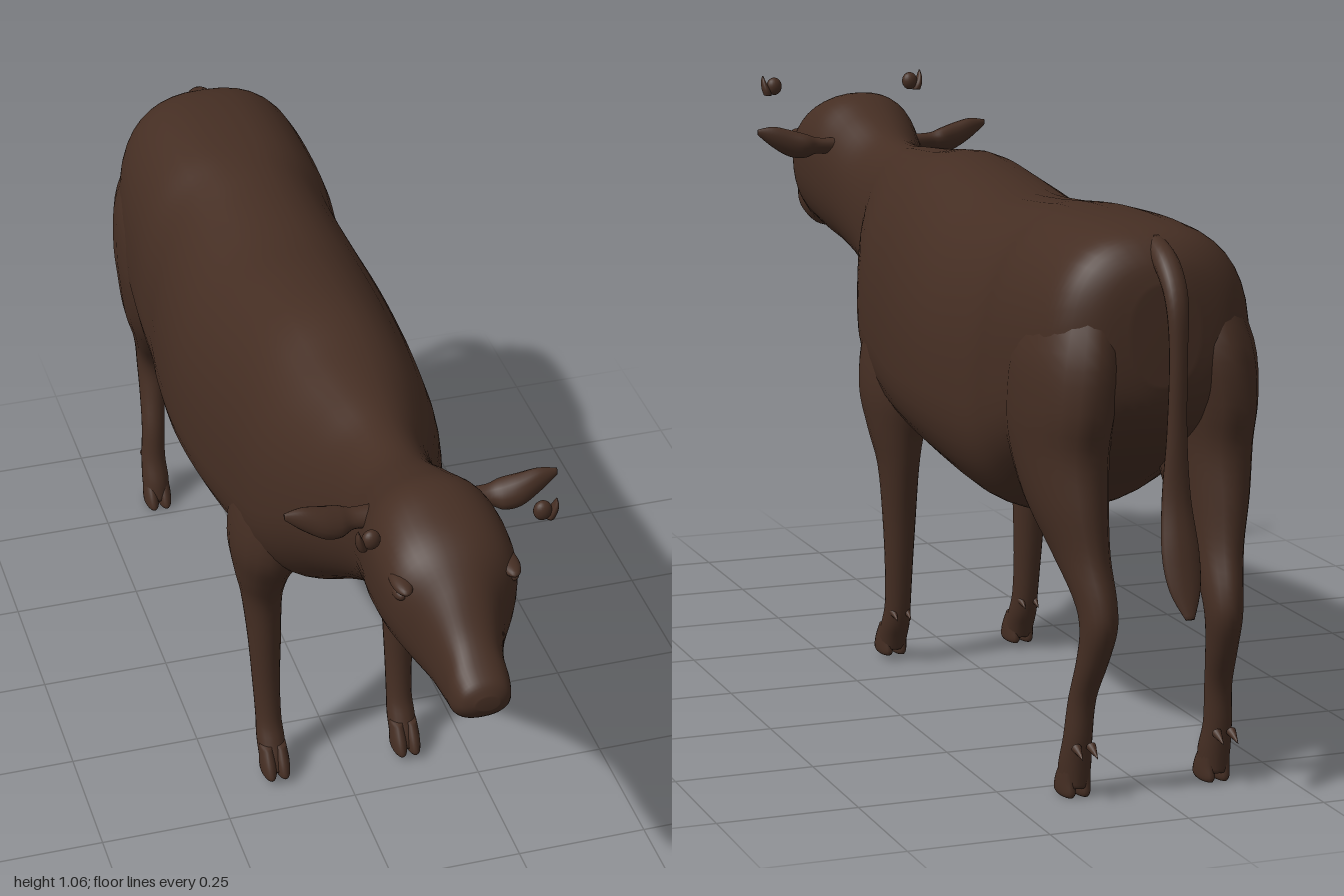
import * as THREE from 'three';

const hide = new THREE.MeshStandardMaterial({ color: 0x452e23 });
hide.name = 'dark brown hide';

// Smoothly resample rows of numbers, column by column
function resample(rows, steps) {
  const out = [];
  const at = (i) => rows[Math.max(0, Math.min(rows.length - 1, i))];
  for (let i = 0; i < rows.length - 1; i++) {
    for (let s = 0; s < steps; s++) {
      const t = s / steps;
      out.push(rows[i].map((b, k) => {
        const a = at(i - 1)[k], c = at(i + 1)[k], d = at(i + 2)[k];
        return b + 0.5 * t * (c - a + t * (2 * a - 5 * b + 4 * c - d + t * (3 * (b - c) + d - a)));
      }));
    }
  }
  out.push(rows[rows.length - 1]);
  return out;
}

// Closed smooth skin over rings of points, capped at both ends
function skin(rings) {
  const n = rings[0].length, pos = [], idx = [];
  rings.forEach((r) => r.forEach((p) => pos.push(p.x, p.y, p.z)));
  for (let i = 0; i < rings.length - 1; i++) {
    for (let j = 0; j < n; j++) {
      const a = i * n + j, b = i * n + (j + 1) % n;
      idx.push(a, b, a + n, b, b + n, a + n);
    }
  }
  [0, rings.length - 1].forEach((i) => {
    const c = new THREE.Vector3();
    rings[i].forEach((p) => c.addScaledVector(p, 1 / n));
    const m = pos.length / 3;
    pos.push(c.x, c.y, c.z);
    for (let j = 0; j < n; j++) {
      const a = i * n + j, b = i * n + (j + 1) % n;
      if (i) idx.push(a, b, m); else idx.push(b, a, m);
    }
  });
  // Turn the faces outward when the rings run the other way
  const P = (i) => new THREE.Vector3().fromArray(pos, i * 3);
  let volume = 0;
  for (let i = 0; i < idx.length; i += 3) volume += P(idx[i]).dot(P(idx[i + 1]).cross(P(idx[i + 2])));
  if (volume < 0) idx.reverse();
  const g = new THREE.BufferGeometry();
  g.setAttribute('position', new THREE.Float32BufferAttribute(pos, 3));
  g.setIndex(idx);
  g.computeVertexNormals();
  return g;
}

const angles = (n) => Array.from({ length: n }, (_, j) => (j / n) * Math.PI * 2);
const pw = (v, e) => Math.sign(v) * Math.pow(Math.abs(v), 2 / e);

// Trunk rows: z, top, bottom, half width, height of widest point, squareness
function trunk(rows) {
  return skin(resample(rows, 5).map(([z, top, bot, w, mid, e]) => angles(40).map((t) => {
    const s = pw(Math.sin(t), e);
    return new THREE.Vector3(w * pw(Math.cos(t), e), mid + s * (s > 0 ? top - mid : mid - bot), z);
  })));
}

// Limb rows: x, y, z, half width across x, half depth across z (level rings)
function limb(rows) {
  return skin(resample(rows, 4).map(([x, y, z, rx, rz]) => angles(20).map((t) =>
    new THREE.Vector3(x + rx * Math.cos(t), y, z + rz * Math.sin(t)))));
}

// Tail rows: y, z, half width, half thickness (rings square to the path)
function tailSkin(rows) {
  const r = resample(rows, 5);
  return skin(r.map(([y, z, rx, rt], i) => {
    const a = r[Math.max(0, i - 1)], b = r[Math.min(r.length - 1, i + 1)];
    const l = Math.hypot(b[0] - a[0], b[1] - a[1]);
    const ny = -(b[1] - a[1]) / l, nz = (b[0] - a[0]) / l;
    return angles(14).map((t) => new THREE.Vector3(rx * Math.cos(t), y + ny * rt * Math.sin(t), z + nz * rt * Math.sin(t)));
  }));
}

// Ear rows: x, y, z, half height, half depth (rings facing sideways)
function earSkin(rows) {
  return skin(resample(rows, 5).map(([x, y, z, ry, rz]) => angles(16).map((t) =>
    new THREE.Vector3(x, y + ry * Math.cos(t) - 0.3 * rz * Math.sin(t), z + rz * Math.sin(t)))));
}

export function createModel() {
  const model = new THREE.Group();
  model.name = 'cow';
  const add = (parent, name, geo, p = [0, 0, 0], s = [1, 1, 1]) => {
    const m = new THREE.Mesh(geo, hide);
    m.name = name;
    m.position.set(...p);
    m.scale.set(...s);
    parent.add(m);
    return m;
  };
  const ball = new THREE.SphereGeometry(1, 20, 14);

  // Body, neck and head in one skin
  add(model, 'body', trunk([
    [-0.885, 0.89, 0.72, 0.06, 0.81, 2.2],
    [-0.87, 0.935, 0.67, 0.125, 0.8, 2.4],
    [-0.83, 0.972, 0.62, 0.175, 0.77, 2.5],
    [-0.75, 0.985, 0.56, 0.2, 0.72, 2.5],
    [-0.6, 0.985, 0.485, 0.208, 0.67, 2.5],
    [-0.5, 0.98, 0.43, 0.205, 0.63, 2.3],
    [-0.4, 0.97, 0.41, 0.216, 0.62, 2.2],
    [-0.25, 0.963, 0.432, 0.225, 0.62, 2.2],
    [-0.1, 0.983, 0.45, 0.217, 0.62, 2.2],
    [0.05, 1.0, 0.46, 0.2, 0.64, 2.2],
    [0.18, 0.987, 0.485, 0.183, 0.67, 2.2],
    [0.3, 0.977, 0.565, 0.143, 0.73, 2.1],
    [0.4, 0.968, 0.63, 0.103, 0.78, 2.1],
    [0.5, 0.975, 0.685, 0.092, 0.82, 2.1],
    [0.6, 1.012, 0.722, 0.105, 0.87, 2.2],
    [0.68, 1.04, 0.738, 0.117, 0.9, 2.3],
    [0.76, 1.028, 0.752, 0.119, 0.91, 2.3],
    [0.82, 1.002, 0.755, 0.108, 0.9, 2.2],
    [0.87, 0.957, 0.743, 0.072, 0.85, 2.3],
    [0.92, 0.898, 0.738, 0.054, 0.81, 2.4],
    [0.96, 0.862, 0.752, 0.052, 0.8, 2.4],
    [0.988, 0.842, 0.776, 0.042, 0.805, 2.3],
    [1.0, 0.822, 0.795, 0.02, 0.808, 2],
  ]));

  // Tail with a fuller tip
  add(model, 'tail', tailSkin([
    [0.95, -0.83, 0.02, 0.02], [0.925, -0.885, 0.022, 0.02], [0.87, -0.927, 0.02, 0.017],
    [0.78, -0.936, 0.016, 0.013], [0.65, -0.933, 0.018, 0.013], [0.54, -0.933, 0.026, 0.016],
    [0.45, -0.953, 0.034, 0.018], [0.39, -0.974, 0.028, 0.013], [0.345, -0.996, 0.008, 0.004],
  ]));

  // One side, repeated on the other by mirroring positions
  const foreRows = [
    [0.11, 0.78, 0.1, 0.04, 0.07], [0.12, 0.65, 0.1, 0.07, 0.11], [0.128, 0.55, 0.098, 0.074, 0.108],
    [0.138, 0.47, 0.088, 0.053, 0.075], [0.137, 0.4, 0.08, 0.039, 0.051], [0.134, 0.3, 0.086, 0.032, 0.035],
    [0.133, 0.2, 0.092, 0.027, 0.027], [0.132, 0.12, 0.102, 0.025, 0.026], [0.132, 0.08, 0.115, 0.027, 0.03],
    [0.132, 0.05, 0.13, 0.027, 0.031], [0.132, 0.025, 0.14, 0.025, 0.03],
  ];
  const hindRows = [
    [0.1, 0.9, -0.76, 0.05, 0.08], [0.117, 0.78, -0.745, 0.085, 0.143], [0.13, 0.68, -0.735, 0.082, 0.157],
    [0.132, 0.6, -0.733, 0.075, 0.142], [0.13, 0.51, -0.763, 0.062, 0.12], [0.123, 0.43, -0.81, 0.045, 0.083],
    [0.116, 0.36, -0.861, 0.035, 0.052], [0.115, 0.31, -0.876, 0.031, 0.04], [0.119, 0.25, -0.86, 0.027, 0.032],
    [0.126, 0.18, -0.833, 0.024, 0.025], [0.13, 0.11, -0.823, 0.025, 0.026], [0.13, 0.06, -0.81, 0.028, 0.031],
    [0.13, 0.02, -0.804, 0.026, 0.031],
  ];
  const earRows = [
    [0.08, 0.943, 0.62, 0.018, 0.02], [0.12, 0.946, 0.62, 0.016, 0.017], [0.145, 0.946, 0.623, 0.024, 0.024],
    [0.175, 0.952, 0.627, 0.027, 0.022], [0.21, 0.966, 0.627, 0.021, 0.014], [0.242, 0.977, 0.627, 0.006, 0.004],
  ];
  for (const side of [1, -1]) {
    const flip = (rows) => rows.map((r) => [side * r[0], ...r.slice(1)]);
    const half = new THREE.Group();
    half.name = side > 0 ? 'leftSide' : 'rightSide';
    model.add(half);
    add(half, 'frontLeg', limb(flip(foreRows)));
    add(half, 'hindLeg', limb(flip(hindRows)));
    add(half, 'ear', earSkin(flip(earRows)));

    // Cloven hooves and dewclaws
    for (const [z, x, y] of [[0.147, 0.132, 0.013], [-0.798, 0.13, 0.003]]) {
      for (const d of [-0.0135, 0.0135]) {
        const px = side * (x + d);
        add(half, 'hoof', limb([
          [px, y + 0.06, z - 0.015, 0.012, 0.02], [px, y + 0.03, z - 0.004, 0.015, 0.03],
          [px, y + 0.008, z, 0.0145, 0.036], [px, y, z, 0.011, 0.032],
        ]));
        const claw = add(half, 'dewclaw', new THREE.ConeGeometry(0.009, 0.035, 10), [px, y + 0.088, z - 0.068]);
        claw.rotation.x = -2.0;
      }
    }

    // Brow and eye
    add(half, 'brow', ball, [side * 0.094, 0.945, 0.81], [0.018, 0.012, 0.042]);
    add(half, 'eye', ball, [side * 0.098, 0.928, 0.815], [0.012, 0.012, 0.022]);

    // Loose eye-shaped pieces beside the crown
    add(half, 'looseBall', ball, [side * 0.148, 1.046, 0.818], [0.016, 0.018, 0.013]);
    add(half, 'looseShard', limb(flip([
      [0.162, 1.028, 0.816, 0.008, 0.01], [0.166, 1.04, 0.817, 0.008, 0.012],
      [0.17, 1.055, 0.82, 0.005, 0.009], [0.171, 1.068, 0.822, 0.001, 0.002],
    ])));
  }
  return model;
}
